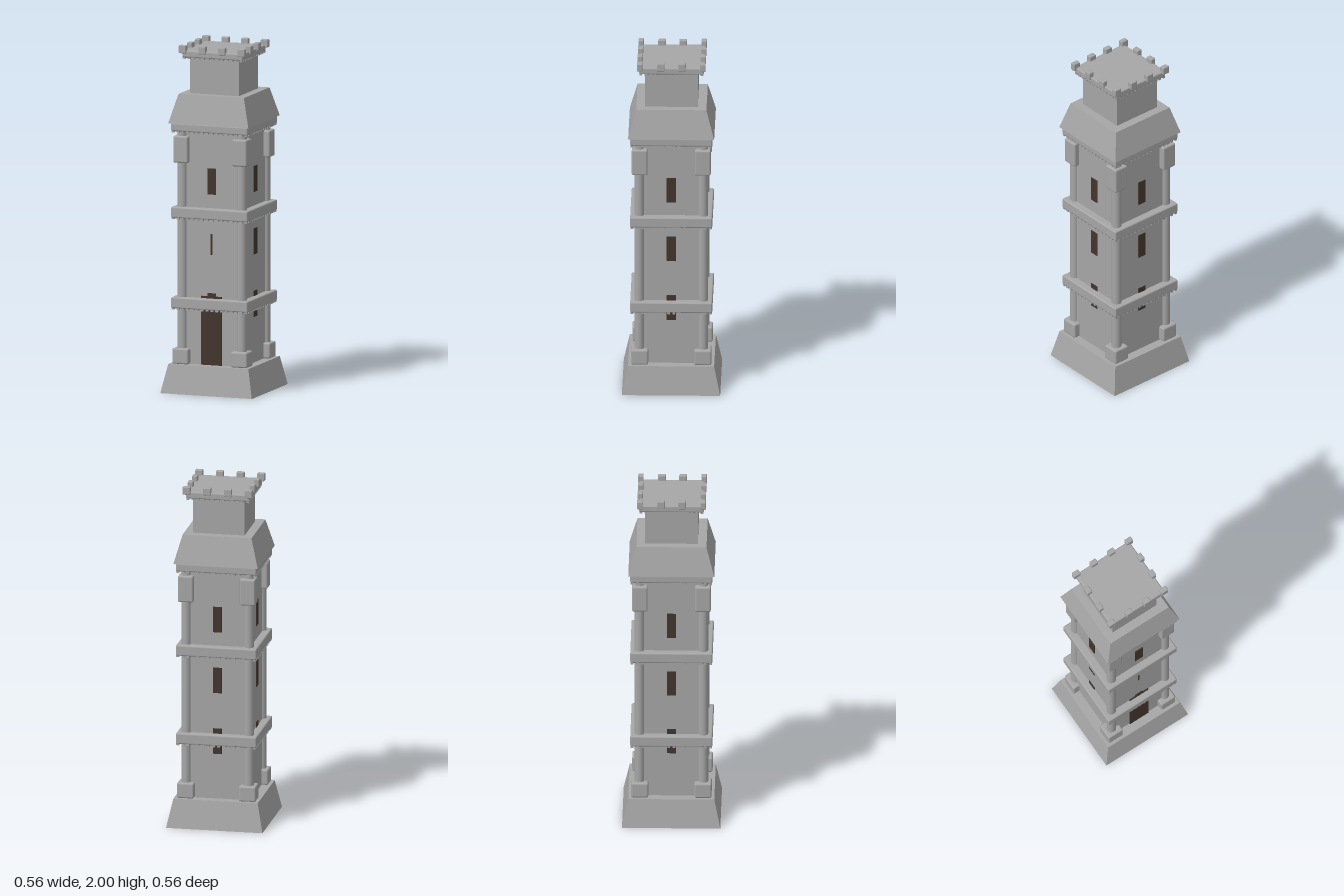
import * as THREE from 'three';
import { RoundedBoxGeometry } from 'three/addons/geometries/RoundedBoxGeometry.js';

export function createModel() {
  const tower = new THREE.Group();
  tower.name = 'tower';
  const stone = new THREE.MeshStandardMaterial({ color: 0xa6a6a6 });
  stone.name = 'grey stone';
  const wood = new THREE.MeshStandardMaterial({ color: 0x43352d });
  wood.name = 'dark brown';

  const add = (name, geometry, x, y, z, material = stone, parent = tower) => {
    const mesh = new THREE.Mesh(geometry, material);
    mesh.name = name;
    mesh.position.set(x, y, z);
    parent.add(mesh);
    return mesh;
  };

  // Square block from y0 to y1, with a half width at the bottom and at the top
  const block = (name, y0, y1, bottom, top = bottom) => {
    const g = new THREE.BoxGeometry(2, y1 - y0, 2);
    const p = g.attributes.position;
    for (let i = 0; i < p.count; i++) {
      const s = p.getY(i) > 0 ? top : bottom;
      p.setX(i, p.getX(i) * s);
      p.setZ(i, p.getZ(i) * s);
    }
    g.computeVertexNormals();
    return add(name, g, 0, (y0 + y1) / 2, 0);
  };

  const bevelBox = (w, h, d, r = 0.008) => new RoundedBoxGeometry(w, h, d, 2, r);

  // Main masses
  block('base', 0, 0.165, 0.28, 0.245);
  block('shaft', 0.165, 1.555, 0.19);
  block('flaredRoof', 1.555, 1.72, 0.245, 0.2);
  block('turret', 1.72, 1.935, 0.15);

  // Ledges with a row of small teeth beneath each edge
  const ledge = (name, y0, y1, half, count) => {
    const group = new THREE.Group();
    group.name = name;
    tower.add(group);
    add(name + 'Slab', bevelBox(half * 2, y1 - y0, half * 2), 0, (y0 + y1) / 2, 0, stone, group);
    const tooth = new THREE.BoxGeometry(0.016, 0.016, 0.016);
    const edge = half - 0.011;
    for (let side = 0; side < 4; side++) {
      const row = new THREE.Group();
      row.name = name + 'Teeth';
      row.rotation.y = side * Math.PI / 2;
      group.add(row);
      for (let i = 0; i < count; i++) {
        add('tooth', tooth, -edge + (2 * edge * i) / count, y0, edge, stone, row);
      }
    }
  };
  ledge('lowerLedge', 0.487, 0.55, 0.234, 15);
  ledge('middleLedge', 1.009, 1.071, 0.234, 15);
  ledge('upperLedge', 1.509, 1.556, 0.234, 15);
  ledge('crown', 1.93, 1.97, 0.185, 12);

  // Corner columns with their feet and heads
  for (const sx of [-1, 1]) {
    for (const sz of [-1, 1]) {
      add('cornerColumn', new THREE.CylinderGeometry(0.028, 0.028, 1.36, 16), sx * 0.182, 0.845, sz * 0.182);
      add('columnFoot', bevelBox(0.098, 0.09, 0.098, 0.01), sx * 0.18, 0.21, sz * 0.18);
      add('columnHead', bevelBox(0.09, 0.155, 0.09, 0.01), sx * 0.18, 1.403, sz * 0.18);
    }
  }

  // Merlons: full rows at front and back, the inner pair on each side
  const merlon = bevelBox(0.044, 0.046, 0.031, 0.005);
  for (const s of [-1, 1]) {
    for (const x of [-0.18, -0.06, 0.06, 0.18]) add('merlon', merlon, x, 1.977, s * 0.18);
    for (const z of [-0.06, 0.06]) {
      add('merlon', merlon, s * 0.18, 1.977, z).rotation.y = Math.PI / 2;
    }
  }

  // Windows on all four walls; the front has a slit in the middle storey
  const pane = new THREE.BoxGeometry(0.052, 0.15, 0.009);
  for (let side = 0; side < 4; side++) {
    const wall = new THREE.Group();
    wall.name = 'wallWindows';
    wall.rotation.y = side * Math.PI / 2;
    tower.add(wall);
    add('upperWindow', pane, 0, 1.225, 0.19, wood, wall);
    add('lowerWindow', pane, 0, 0.505, 0.19, wood, wall);
    if (side > 0) add('middleWindow', pane, 0, 0.865, 0.19, wood, wall);
  }
  add('arrowSlit', new THREE.BoxGeometry(0.01, 0.12, 0.009), 0, 0.862, 0.19, wood);
  add('door', new THREE.BoxGeometry(0.126, 0.397, 0.009), 0, 0.3635, 0.192, wood);

  return tower;
}
